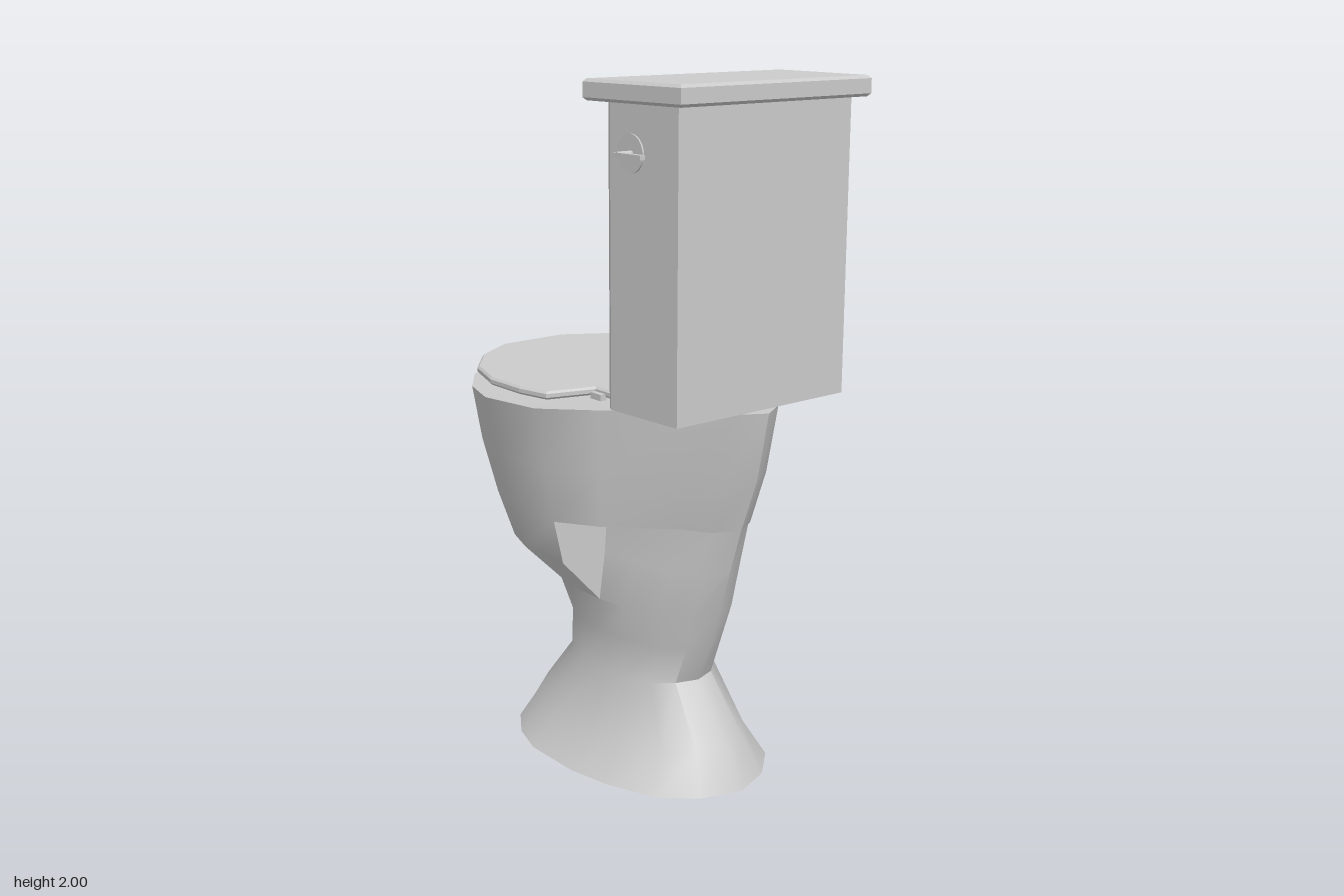
import * as THREE from 'three';
import { toCreasedNormals } from 'three/addons/utils/BufferGeometryUtils.js';

const material = new THREE.MeshStandardMaterial({ color: 0xcccccc });

// Half outlines as fractions: [distance from the widest station, half width]
const FRONT = [[1, 0], [0.95, 0.37], [0.82, 0.66], [0.62, 0.88], [0.39, 1], [0, 1]];
const BACK_RIM = [[0, 1], [0.31, 0.78], [0.69, 0.35], [0.9, 0.2], [1, 0]];
const BACK_FOOT = [[0, 1], [0.31, 0.92], [0.69, 0.72], [0.9, 0.4], [1, 0]];
const WIDEST_X = 0.05;

// Bowl levels: y, front x, back x, front half width, back half width, back outline
const LEVELS = [
  [0, -0.44, 0.46, 0.3, 0.3, BACK_FOOT],
  [0.11, -0.38, 0.4, 0.22, 0.22, BACK_FOOT],
  [0.28, -0.24, 0.27, 0.17, 0.17, BACK_FOOT],
  [0.4, -0.24, 0.32, 0.165, 0.165, BACK_FOOT],
  [0.51, -0.3, 0.355, 0.19, 0.19, BACK_FOOT],
  [0.65, -0.42, 0.4, 0.32, 0.17, BACK_FOOT],
  [0.78, -0.49, 0.44, 0.35, 0.16, BACK_FOOT],
  [0.78, -0.49, 0.44, 0.35, 0.35, BACK_RIM],
  [0.94, -0.55, 0.5, 0.38, 0.38, BACK_RIM],
  [1.1, -0.56, 0.54, 0.41, 0.41, BACK_RIM],
];

function bowlRing([y, xf, xb, zf, zb, back], isTop) {
  const half = [
    ...FRONT.map(([u, w]) => [WIDEST_X + (xf - WIDEST_X) * u, w * zf]),
    ...back.map(([u, w]) => [WIDEST_X + (xb - WIDEST_X) * u, w * zb]),
  ];
  const outline = [...half, ...half.slice(1, -1).reverse().map(([x, z]) => [x, -z])];
  // The rim rises gently towards the tank
  return outline.map(([x, z]) =>
    new THREE.Vector3(x, y + (isTop ? 0.035 * THREE.MathUtils.smoothstep(x, -0.3, 0.4) : 0), z));
}

function bowlGeometry() {
  const rings = LEVELS.map((level, i) => bowlRing(level, i === LEVELS.length - 1));
  const positions = [];
  const face = (a, b, c) => {
    if (new THREE.Triangle(a, b, c).getArea() < 1e-7) return;
    for (const p of [a, b, c]) positions.push(p.x, p.y, p.z);
  };
  const n = rings[0].length;
  const top = rings[rings.length - 1];
  const bottomCentre = new THREE.Vector3(0, 0, 0);
  const topCentre = new THREE.Vector3(0, 1.11, 0);
  for (let j = 0; j < n; j++) {
    const k = (j + 1) % n;
    for (let i = 0; i < rings.length - 1; i++) {
      face(rings[i][j], rings[i][k], rings[i + 1][k]);
      face(rings[i][j], rings[i + 1][k], rings[i + 1][j]);
    }
    face(bottomCentre, rings[0][k], rings[0][j]);
    face(topCentre, top[j], top[k]);
  }
  const geometry = new THREE.BufferGeometry();
  geometry.setAttribute('position', new THREE.Float32BufferAttribute(positions, 3));
  return toCreasedNormals(geometry, 0.85);
}

// Horizontal slab from a half outline [x, z], mirrored in z, with a bevelled edge
function slab(half, y0, y1, bevel = 0) {
  const points = [...half, ...half.slice().reverse().map(([x, z]) => [x, -z])]
    .map(([x, z]) => new THREE.Vector2(x, z));
  const geometry = new THREE.ExtrudeGeometry(new THREE.Shape(points), {
    depth: y1 - y0 - 2 * bevel,
    bevelEnabled: bevel > 0,
    bevelThickness: bevel,
    bevelSize: bevel,
    bevelOffset: -bevel,
    bevelSegments: 1,
  });
  geometry.rotateX(-Math.PI / 2);
  geometry.translate(0, y0 + bevel, 0);
  return geometry;
}

export function createModel() {
  const model = new THREE.Group();
  model.name = 'toilet';
  const add = (name, geometry, x = 0, y = 0, z = 0) => {
    const mesh = new THREE.Mesh(geometry, material);
    mesh.name = name;
    mesh.position.set(x, y, z);
    model.add(mesh);
    return mesh;
  };

  add('bowl', bowlGeometry());

  // Closed seat cover with a narrow tongue reaching back to the tank
  add('seatCover', slab([
    [-0.53, 0.11], [-0.45, 0.24], [-0.33, 0.34], [-0.19, 0.39], [-0.05, 0.39],
    [0.05, 0.37], [0.09, 0.23], [0.2, 0.23],
  ], 1.134, 1.157, 0.006));

  // Hinges either side of the tongue
  for (const side of [1, -1]) {
    add(side > 0 ? 'leftHinge' : 'rightHinge',
      new THREE.BoxGeometry(0.045, 0.018, 0.02), 0.11, 1.136, side * 0.236);
  }

  // Tank with chamfered front corners, narrowing slightly to the back
  add('tank', slab([[0.235, 0.295], [0.26, 0.31], [0.515, 0.3]], 1.14, 1.955));
  add('tankLid', slab([[0.195, 0.347], [0.557, 0.33]], 1.945, 2, 0.008));

  // Flush lever on the side of the tank
  const plate = add('leverPlate', new THREE.CylinderGeometry(0.05, 0.05, 0.014, 24), 0.34, 1.82, 0.303);
  plate.rotation.x = Math.PI / 2;
  const stem = add('leverStem', new THREE.CylinderGeometry(0.008, 0.008, 0.05, 10), 0.345, 1.82, 0.33);
  stem.rotation.x = Math.PI / 2;
  add('leverHandle', new THREE.BoxGeometry(0.107, 0.012, 0.015), 0.387, 1.82, 0.352);

  return model;
}
